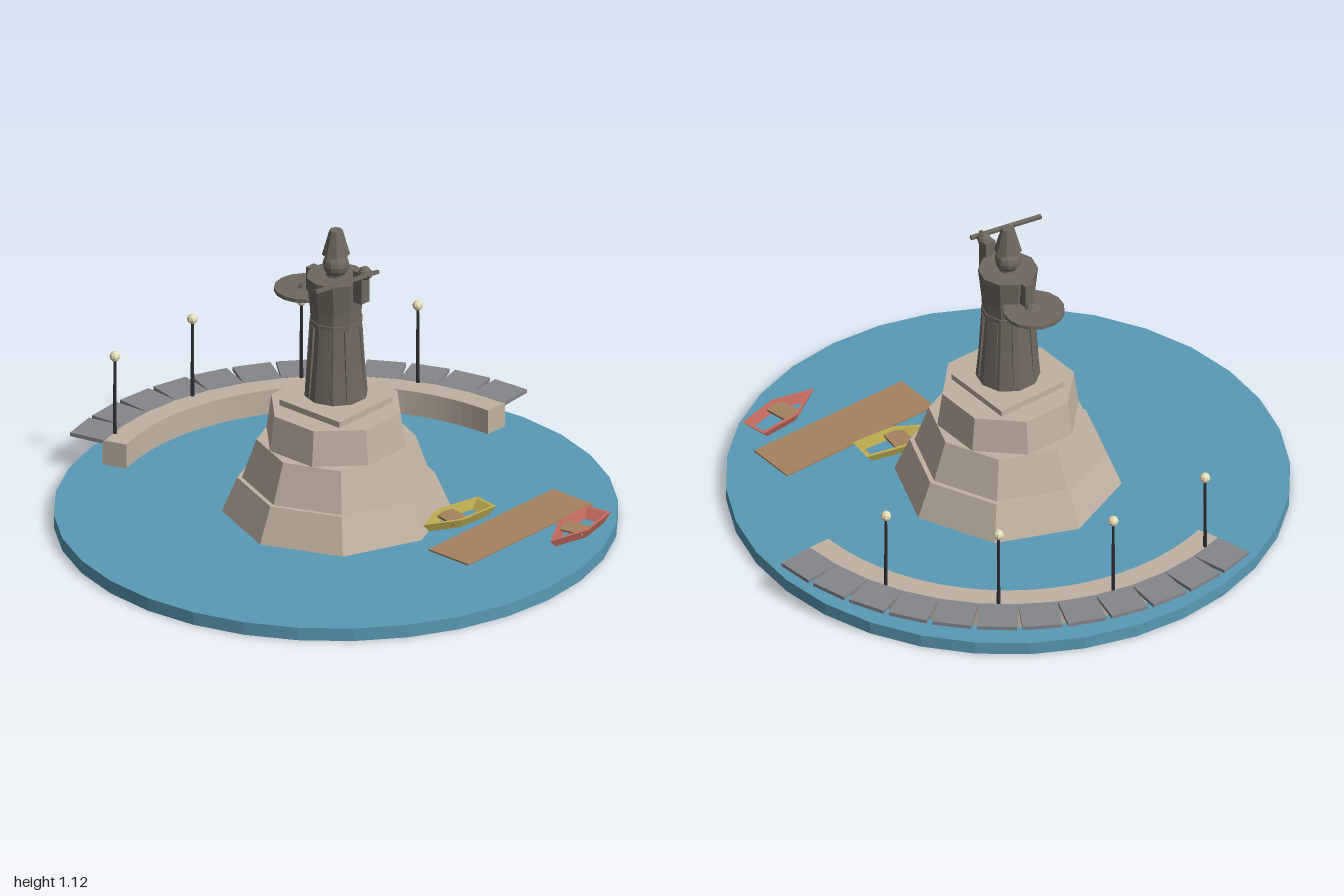
import * as THREE from 'three';

const material = (color, extra = {}) =>
  new THREE.MeshStandardMaterial({ color, flatShading: true, ...extra });

export function createModel() {
  const root = new THREE.Group();
  root.name = 'harbourStatue';
  root.position.set(0.015, 0, 0.012);

  const water = material(0x5a9ab6);
  const stone = material(0xc0b2a2);
  const bronze = material(0x6f685f);
  const slate = material(0x85868b);
  const wood = material(0xa6825f);
  const iron = material(0x2e3033);
  const lampGlass = material(0xe6dfb8);
  const red = material(0xc46a5e, { side: THREE.DoubleSide });
  const yellow = material(0xbfae52, { side: THREE.DoubleSide });

  const add = (parent, name, geometry, mat, x = 0, y = 0, z = 0) => {
    const mesh = new THREE.Mesh(geometry, mat);
    mesh.name = name;
    mesh.position.set(x, y, z);
    parent.add(mesh);
    return mesh;
  };
  const group = (name, parent = root) => {
    const g = new THREE.Group();
    g.name = name;
    parent.add(g);
    return g;
  };
  // Frustum standing on y0
  const frustum = (parent, name, top, bottom, y0, y1, sides, mat) =>
    add(parent, name, new THREE.CylinderGeometry(top, bottom, y1 - y0, sides), mat, 0, (y0 + y1) / 2, 0);
  // Square bar between two points
  const bar = (parent, name, a, b, w, d, mat) => {
    const p = new THREE.Vector3(...a), q = new THREE.Vector3(...b);
    const mesh = add(parent, name, new THREE.BoxGeometry(w, p.distanceTo(q), d), mat);
    mesh.position.lerpVectors(p, q, 0.5);
    mesh.quaternion.setFromUnitVectors(new THREE.Vector3(0, 1, 0), q.sub(p).normalize());
    return mesh;
  };

  // Water disc
  frustum(root, 'water', 0.985, 0.985, 0, 0.048, 32, water);

  // Stepped octagonal pedestal with a square plinth
  const pedestal = group('pedestal');
  frustum(pedestal, 'lowerTier', 0.345, 0.4, 0.045, 0.175, 8, stone);
  frustum(pedestal, 'middleTier', 0.278, 0.328, 0.175, 0.32, 8, stone);
  frustum(pedestal, 'upperTier', 0.238, 0.256, 0.32, 0.449, 8, stone).rotation.y = Math.PI / 8;
  add(pedestal, 'plinth', new THREE.BoxGeometry(0.28, 0.022, 0.28), stone, 0, 0.46, 0);

  // Robed figure
  const statue = group('statue');
  const robe = [[0, 0.492], [0.113, 0.492], [0.101, 0.62], [0.09, 0.77], [0.093, 0.83], [0.105, 0.945], [0, 0.945]];
  add(statue, 'robe', new THREE.LatheGeometry(robe.map(p => new THREE.Vector2(...p)), 10), bronze);
  frustum(statue, 'belt', 0.095, 0.095, 0.765, 0.785, 10, bronze);
  for (let i = 0; i < 8; i++) {
    const a = (i + 0.5) * Math.PI / 4, s = Math.sin(a), c = Math.cos(a);
    const fold = bar(statue, 'robeFold', [s * 0.1, 0.495, c * 0.1], [s * 0.083, 0.765, c * 0.083], 0.022, 0.022, bronze);
    fold.rotateY(a);
  }
  frustum(statue, 'neck', 0.03, 0.035, 0.94, 0.97, 8, bronze);
  add(statue, 'head', new THREE.SphereGeometry(0.047, 10, 8), bronze, 0, 0.988, 0);
  frustum(statue, 'hat', 0.023, 0.049, 1.027, 1.12, 8, bronze);

  // Right arm carrying a flat round shield
  bar(statue, 'rightUpperArm', [-0.105, 0.945, 0], [-0.105, 0.85, 0], 0.035, 0.04, bronze);
  bar(statue, 'rightForearm', [-0.09, 0.855, 0], [-0.14, 0.84, 0], 0.03, 0.03, bronze);
  add(statue, 'rightHand', new THREE.SphereGeometry(0.036, 8, 6), bronze, -0.14, 0.838, 0);
  add(statue, 'shield', new THREE.CylinderGeometry(0.108, 0.108, 0.014, 16), bronze, -0.145, 0.849, 0);

  // Raised left arm holding a sword forwards
  bar(statue, 'leftShoulder', [0.08, 0.925, 0], [0.125, 0.925, 0], 0.04, 0.035, bronze);
  bar(statue, 'leftForearm', [0.117, 0.88, 0], [0.117, 1.0, 0], 0.04, 0.042, bronze);
  add(statue, 'leftHand', new THREE.SphereGeometry(0.025, 8, 6), bronze, 0.135, 0.995, 0);
  bar(statue, 'sword', [0.165, 0.998, -0.035], [0.112, 0.998, 0.235], 0.014, 0.012, bronze);
  bar(statue, 'swordGuard', [0.128, 0.998, 0.005], [0.172, 0.998, 0.014], 0.012, 0.012, bronze);

  // Curved quay wall
  const quay = group('quay');
  const start = Math.PI * 0.9, end = Math.PI * 1.5;
  const arc = new THREE.Shape();
  arc.absarc(0, 0, 0.887, start, end, false);
  arc.absarc(0, 0, 0.797, end, start, true);
  const wall = new THREE.ExtrudeGeometry(arc, { depth: 0.1, bevelEnabled: false, curveSegments: 20 });
  add(quay, 'quayWall', wall.rotateX(Math.PI / 2), stone, 0, 0.14, 0);

  // Paving slabs fanned around the wall
  for (let i = 0; i < 12; i++) {
    const a = start + (i + 0.5) * (end - start) / 12;
    add(quay, 'pavingSlab', new THREE.BoxGeometry(0.135, 0.014, 0.138), slate,
      Math.cos(a) * 0.945, 0.134, Math.sin(a) * 0.945).rotation.y = -a;
  }

  // Lamp posts
  for (let i = 0; i < 4; i++) {
    const a = Math.PI * (0.925 + i * 0.15);
    const lamp = group('lampPost', quay);
    lamp.position.set(Math.cos(a) * 0.873, 0, Math.sin(a) * 0.873);
    frustum(lamp, 'post', 0.005, 0.007, 0.135, 0.425, 6, iron);
    add(lamp, 'globe', new THREE.SphereGeometry(0.019, 8, 6), lampGlass, 0, 0.437, 0);
  }

  // Wooden dock
  add(root, 'dock', new THREE.BoxGeometry(0.185, 0.02, 0.655), wood, 0.565, 0.044, -0.28);

  // Open rowing boats: pointed outline narrowing towards the keel
  const outline = [[-0.05, -0.155], [0.05, -0.155], [0.063, 0.01], [0, 0.16], [-0.063, 0.01]];
  const inner = [[-0.039, -0.143], [0.039, -0.143], [0.051, 0.008], [0, 0.132], [-0.051, 0.008]];
  const points = list => list.map(p => new THREE.Vector2(...p));
  const boat = (name, mat, x, z, yaw) => {
    const g = group(name);
    g.position.set(x, 0.08, z);
    g.rotation.y = yaw;
    const shape = new THREE.Shape(points(outline));
    shape.holes.push(new THREE.Path(points(inner)));
    const hull = new THREE.ExtrudeGeometry(shape, { depth: 0.034, bevelEnabled: false }).rotateX(Math.PI / 2);
    const pos = hull.attributes.position;
    for (let i = 0; i < pos.count; i++) {
      const k = 1 + pos.getY(i) * 6;
      pos.setX(i, pos.getX(i) * k);
      pos.setZ(i, pos.getZ(i) * k);
    }
    hull.computeVertexNormals();
    add(g, 'hull', hull, mat);
    add(g, 'seat', new THREE.BoxGeometry(0.102, 0.008, 0.075), wood, 0, -0.012, 0.003);
  };
  boat('redBoat', red, 0.76, -0.398, 0.16);
  boat('yellowBoat', yellow, 0.38, -0.185, -0.15);

  return root;
}
